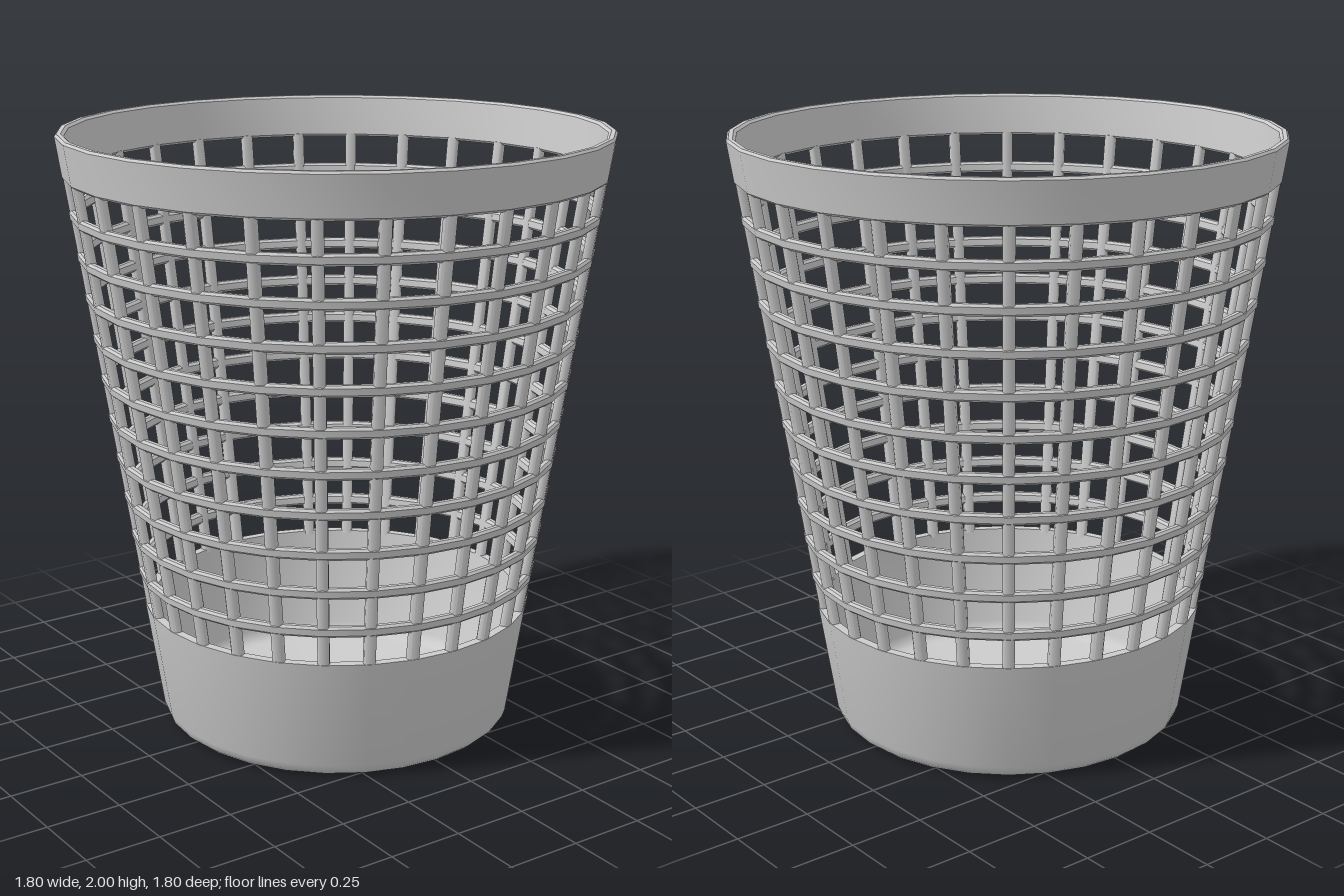
import * as THREE from 'three';
import { toCreasedNormals } from 'three/addons/utils/BufferGeometryUtils.js';

const SIDES = 28;        // one facet per rib
const WALL = 0.03;
const GRID_BOTTOM = 0.415, GRID_TOP = 1.855;
const ROWS = 11;         // openings per column
const BAR = 0.038;       // height of the rings, width of the ribs

// Radius of the tapering outer and inner wall at height y
const outer = (y) => 0.59 + 0.155 * y;
const inner = (y) => outer(y) - WALL;

export function createModel() {
  const group = new THREE.Group();
  group.name = 'wasteBasket';
  const material = new THREE.MeshStandardMaterial({ color: 0xcccccc });

  const add = (name, geometry, parent = group) => {
    const mesh = new THREE.Mesh(geometry, material);
    mesh.name = name;
    parent.add(mesh);
    return mesh;
  };
  const revolve = (points) => toCreasedNormals(
    new THREE.LatheGeometry(points.map(([r, y]) => new THREE.Vector2(r, y)), SIDES), 0.6);

  // Closed wall section between two heights, with small bevelled edges
  const band = (y0, y1, b) => [
    [inner(y0) + b, y0], [outer(y0) - b, y0],
    [outer(y0 + b), y0 + b], [outer(y1 - b), y1 - b],
    [outer(y1) - b, y1], [inner(y1) + b, y1],
    [inner(y1 - b), y1 - b], [inner(y0 + b), y0 + b],
    [inner(y0) + b, y0],
  ];

  // Solid cup at the bottom with rounded foot and floor
  add('base', revolve([
    [0, 0], [0.55, 0], [0.572, 0.006], [0.588, 0.02], [outer(0.045), 0.045],
    [outer(GRID_BOTTOM), GRID_BOTTOM], [inner(GRID_BOTTOM), GRID_BOTTOM],
    [inner(0.07), 0.07], [0.558, 0.045], [0.54, 0.034], [0.52, 0.03], [0, 0.03],
  ]));

  // Solid band at the top
  add('rim', revolve(band(GRID_TOP, 2, 0.008)));

  // Horizontal rings
  const rings = new THREE.Group();
  rings.name = 'rings';
  group.add(rings);
  const pitch = (GRID_TOP - GRID_BOTTOM + BAR) / ROWS;
  for (let i = 1; i < ROWS; i++) {
    const top = GRID_BOTTOM + i * pitch;
    add('ring', revolve(band(top - BAR, top, 0.008)), rings);
  }

  // Vertical ribs: a bevelled bar sheared to follow the wall, set slightly inward
  const ribs = new THREE.Group();
  ribs.name = 'ribs';
  group.add(ribs);
  const w = BAR / 2, d = WALL / 2, b = 0.006;
  const section = new THREE.Shape([
    [-w + b, -d], [w - b, -d], [w, -d + b], [w, d - b],
    [w - b, d], [-w + b, d], [-w, d - b], [-w, -d + b],
  ].map(([x, y]) => new THREE.Vector2(x, y)));
  const bar = new THREE.ExtrudeGeometry(section, {
    depth: GRID_TOP - GRID_BOTTOM + 0.02, bevelEnabled: false,
  });
  bar.rotateX(-Math.PI / 2).translate(0, GRID_BOTTOM - 0.01, 0);
  const p = bar.attributes.position;
  for (let i = 0; i < p.count; i++) {
    p.setZ(i, p.getZ(i) + outer(p.getY(i)) - d - 0.003);
  }
  const ribGeometry = toCreasedNormals(bar, 0.9);
  for (let i = 0; i < SIDES; i++) {
    add('rib', ribGeometry, ribs).rotation.y = (i / SIDES) * Math.PI * 2;
  }

  return group;
}
